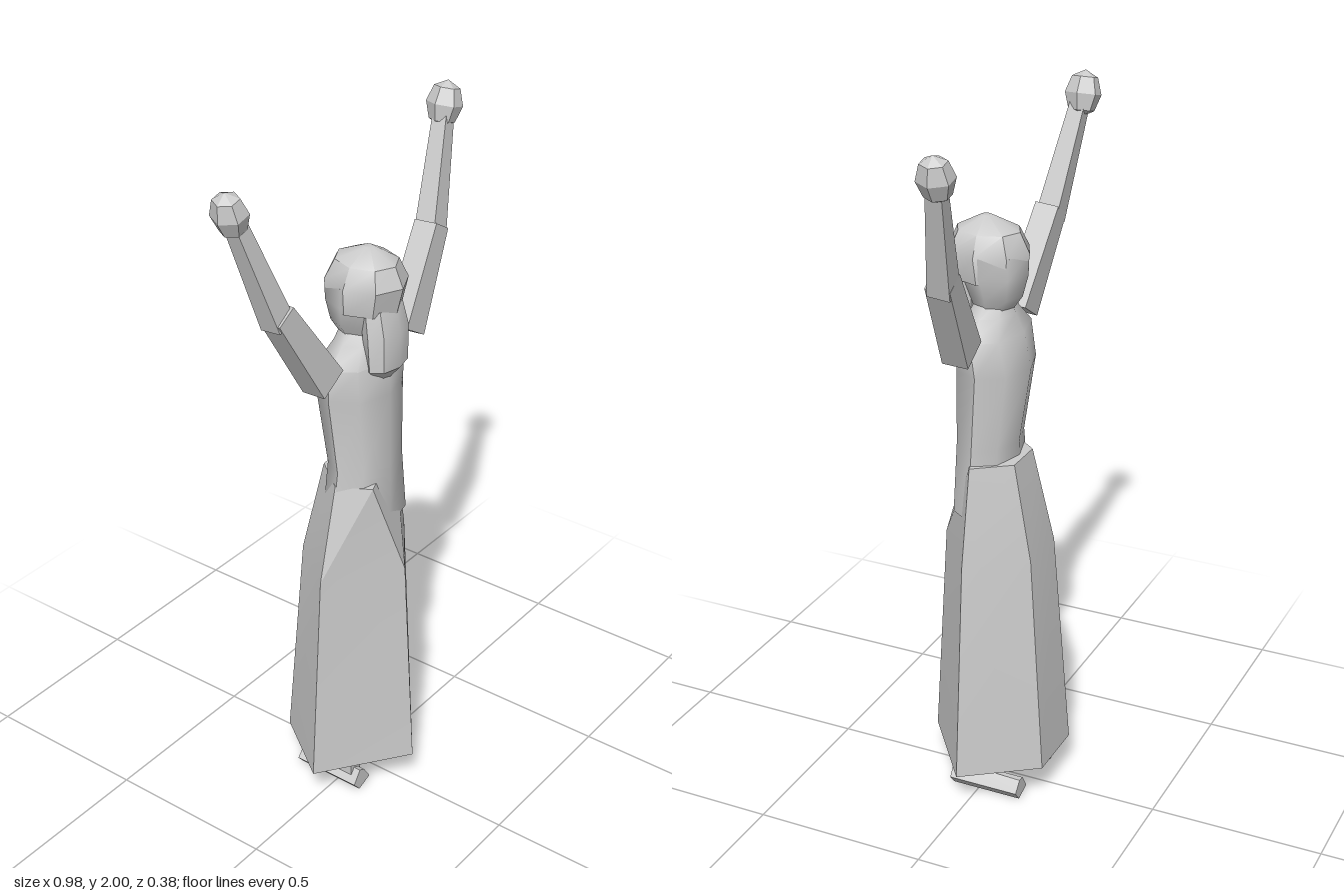
import * as THREE from 'three';
import { toCreasedNormals } from 'three/addons/utils/BufferGeometryUtils.js';

const material = new THREE.MeshStandardMaterial({ color: 0xcccccc, side: THREE.DoubleSide });

// Skins a stack of rings, each a loop of [x, y, z] points, and caps both ends
function loft(name, rings, crease = 0.2) {
  const n = rings[0].length, positions = [], index = [];
  rings.forEach(ring => ring.forEach(p => positions.push(...p)));
  for (let r = 0; r < rings.length - 1; r++) {
    for (let i = 0; i < n; i++) {
      const a = r * n + i, b = r * n + (i + 1) % n;
      index.push(a, b, b + n, a, b + n, a + n);
    }
  }
  const top = (rings.length - 1) * n;
  for (let i = 1; i < n - 1; i++) {
    index.push(0, i + 1, i, top, top + i, top + i + 1);
  }
  const geometry = new THREE.BufferGeometry();
  geometry.setAttribute('position', new THREE.Float32BufferAttribute(positions, 3));
  geometry.setIndex(index);
  const mesh = new THREE.Mesh(toCreasedNormals(geometry, crease), material);
  mesh.name = name;
  return mesh;
}

// Rings given as [height, half width, front z, back z]
function body(name, levels, sides, crease = 0.9) {
  return loft(name, levels.map(([y, rx, front, back]) =>
    Array.from({ length: sides }, (_, i) => {
      const a = i / sides * Math.PI * 2;
      return [Math.sin(a) * rx, y, (front + back) / 2 + Math.cos(a) * (front - back) / 2];
    })), crease);
}

// Tapered four-sided limb; each end has [half width, half depth]
function limb(name, from, to, size0, size1) {
  const start = new THREE.Vector3(...from), end = new THREE.Vector3(...to);
  const dir = end.clone().sub(start).normalize();
  const depth = new THREE.Vector3(0, 0, 1).addScaledVector(dir, -dir.z).normalize();
  const width = depth.clone().cross(dir);
  const ring = (centre, [w, d]) => [[1, 1], [-1, 1], [-1, -1], [1, -1]].map(([u, v]) =>
    centre.clone().addScaledVector(width, u * w).addScaledVector(depth, v * d).toArray());
  return loft(name, [ring(start, size0), ring(end, size1)]);
}

export function createModel() {
  const model = new THREE.Group();
  model.name = 'robedFigure';

  // Five-sided skirt, its waist twisted a little to one side
  model.add(loft('skirt', [
    [[0, 0.11, 0.19], [0.24, 0.11, 0.01], [0.095, 0.11, -0.193], [-0.1, 0.11, -0.193], [-0.245, 0.11, 0.01]],
    [[0, 0.76, 0.153], [0.195, 0.76, 0.01], [0.08, 0.76, -0.145], [-0.08, 0.76, -0.145], [-0.2, 0.76, 0.01]],
    [[-0.08, 1.04, 0.1], [0.145, 1.04, 0.01], [0.07, 1.04, -0.09], [-0.05, 1.04, -0.09], [-0.13, 1.04, 0.01]],
  ]));

  // Tunic with a flared hem and sloping shoulders
  model.add(body('tunic', [
    [0.885, 0.152, 0.103, -0.08],
    [1.08, 0.124, 0.1, -0.072],
    [1.3, 0.138, 0.098, -0.106],
    [1.4, 0.147, 0.095, -0.085],
    [1.45, 0.09, 0.07, -0.06],
    [1.5, 0.05, 0.045, -0.045],
  ], 8));

  // Head, cap and beard
  model.add(body('head', [
    [1.45, 0.055, 0.05, -0.045],
    [1.5, 0.08, 0.07, -0.08],
    [1.56, 0.094, 0.1, -0.096],
    [1.62, 0.098, 0.11, -0.098],
  ], 8));
  model.add(body('cap', [
    [1.545, 0.092, 0.116, -0.09],
    [1.62, 0.102, 0.135, -0.1],
    [1.675, 0.075, 0.11, -0.072],
    [1.712, 0.012, 0.04, 0.01],
  ], 8, 0.6));
  model.add(body('beard', [
    [1.345, 0.02, 0.09, 0.05],
    [1.39, 0.075, 0.128, 0.04],
    [1.49, 0.078, 0.13, 0.03],
    [1.56, 0.07, 0.112, 0.02],
  ], 8, 0.6));

  for (const side of [-1, 1]) {
    // Raised arm
    const arm = new THREE.Group();
    arm.name = side > 0 ? 'leftArm' : 'rightArm';
    arm.add(limb('upperArm', [side * 0.18, 1.39, 0.012], [side * 0.335, 1.64, -0.012], [0.047, 0.037], [0.033, 0.035]));
    arm.add(limb('forearm', [side * 0.328, 1.61, -0.012], [side * 0.435, 1.91, -0.05], [0.032, 0.032], [0.02, 0.022]));
    const fist = new THREE.Mesh(new THREE.SphereGeometry(1, 6, 4).toNonIndexed(), material);
    fist.geometry.computeVertexNormals();
    fist.name = 'fist';
    fist.scale.set(0.046, 0.064, 0.052);
    fist.position.set(side * 0.447, 1.938, -0.055);
    fist.rotation.z = -side * 0.25;
    arm.add(fist);
    model.add(arm);

    // Short leg and wedge-shaped foot
    model.add(limb('leg', [side * 0.105, 0.05, 0.03], [side * 0.1, 0.3, 0.03], [0.022, 0.028], [0.03, 0.03]));
    const section = z => [[0.14, 0.03], [0.112, 0.066 + z * 0.04], [0.092, 0.06], [0.065, 0.018], [0.115, 0]]
      .map(([x, y]) => [side * x, y, z]);
    const rings = [section(-0.13), section(0.08)];
    model.add(loft('foot', side > 0 ? rings : rings.reverse()));
  }
  return model;
}
